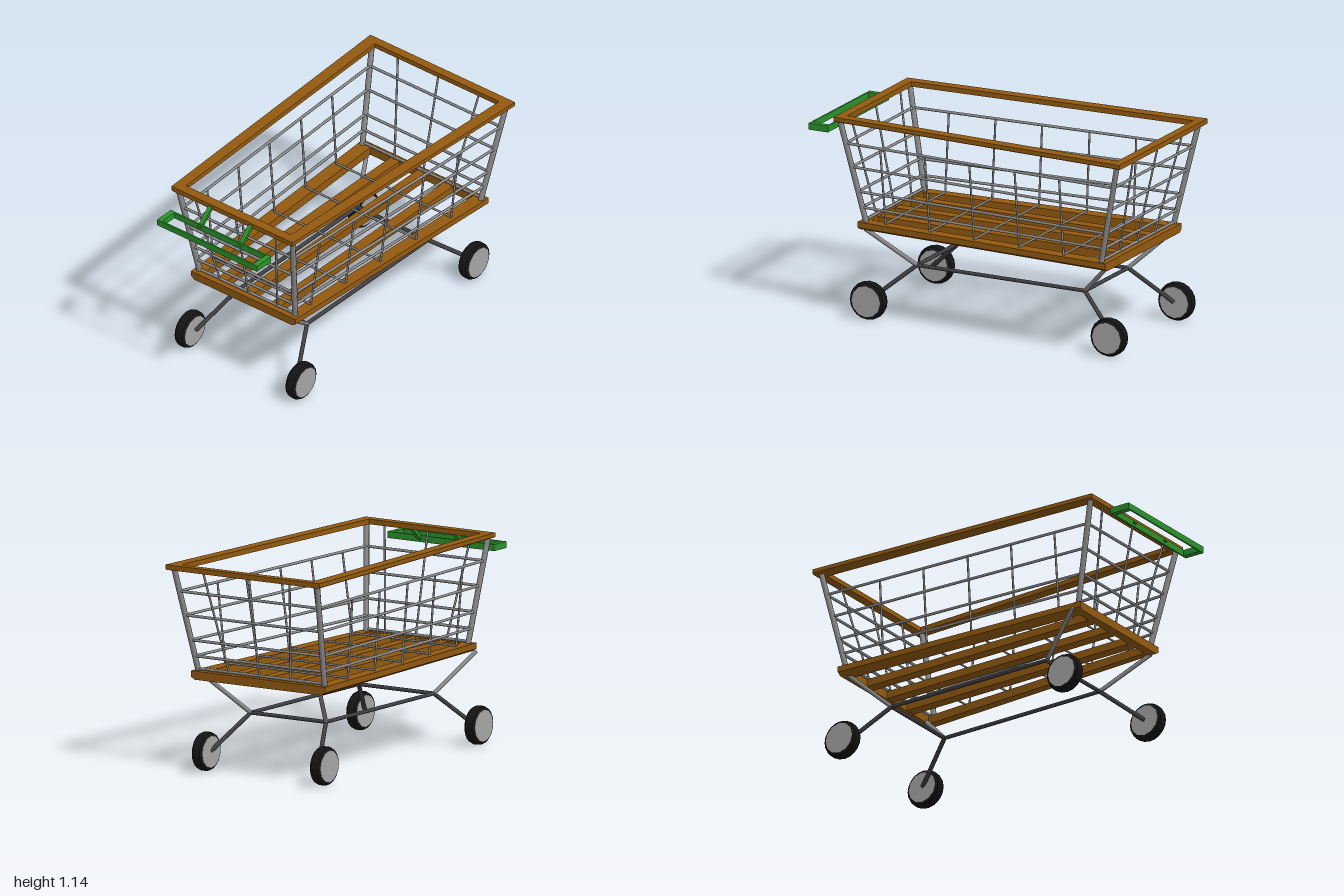
import * as THREE from 'three';
import { ConvexGeometry } from 'three/addons/geometries/ConvexGeometry.js';

const V = (x, y, z) => new THREE.Vector3(x, y, z);
const mat = (name, color) => {
  const m = new THREE.MeshStandardMaterial({ color });
  m.name = name;
  return m;
};

export function createModel() {
  const wood = mat('brown trim', 0x935a10);
  const green = mat('green handle', 0x2b922b);
  const wire = mat('grey wire', 0x8c8c8c);
  const dark = mat('dark steel', 0x404044);
  const rubber = mat('black rubber', 0x141414);
  const hubGrey = mat('hub grey', 0xa6a6a6);

  const model = new THREE.Group();
  model.name = 'shoppingCart';
  const group = (name) => {
    const g = new THREE.Group();
    g.name = name;
    model.add(g);
    return g;
  };
  const add = (parent, name, geo, material) => {
    const m = new THREE.Mesh(geo, material);
    m.name = name;
    parent.add(m);
    return m;
  };
  const box = (parent, name, material, w, h, d, x, y, z) =>
    add(parent, name, new THREE.BoxGeometry(w, h, d), material).position.set(x, y, z);
  const rod = (parent, name, material, a, b, r) => {
    const m = add(parent, name, new THREE.CylinderGeometry(r, r, a.distanceTo(b), 8), material);
    m.position.copy(a).lerp(b, 0.5);
    m.quaternion.setFromUnitVectors(V(0, 1, 0), b.clone().sub(a).normalize());
  };

  // Tapered rectangular frame made of four mitred bars with a chamfered lower edge
  const frame = (name, cx, y0, y1, outer, inner, chamfer) => {
    const g = group(name);
    const corners = ({ front, back, zf, zb }) =>
      [[cx - front, zf], [cx + front, zf], [cx + back, zb], [cx - back, zb]];
    const o = corners(outer), n = corners(inner);
    for (let i = 0; i < 4; i++) {
      const pts = [];
      for (const k of [i, (i + 1) % 4]) {
        const [ox, oz] = o[k], [ix, iz] = n[k];
        const shift = Math.sign(ox - cx) * chamfer;
        pts.push(V(ox, y1, oz), V(ox, y0 + chamfer * 0.6, oz), V(ox - shift, y0, oz),
          V(ix, y1, iz), V(ix, y0, iz));
      }
      add(g, name + 'Bar', new ConvexGeometry(pts), wood);
    }
    return g;
  };
  frame('topRim', -0.002, 1.112, 1.14,
    { front: 0.425, back: 0.507, zf: 0.8, zb: -1 },
    { front: 0.367, back: 0.435, zf: 0.745, zb: -0.95 }, 0.008);
  const tray = frame('tray', -0.014, 0.497, 0.545,
    { front: 0.365, back: 0.44, zf: 0.69, zb: -0.87 },
    { front: 0.3, back: 0.36, zf: 0.64, zb: -0.835 }, 0.025);

  // Floor slats
  for (const x of [-0.2, -0.012, 0.175])
    box(tray, 'floorSlat', wood, 0.062, 0.044, 1.5, x, 0.522, -0.098);

  // Basket corners flare outward with height
  const lerp = THREE.MathUtils.lerp;
  const corner = (sx, sz, y) => {
    const t = (y - 0.545) / 0.575;
    const cx = -0.014 * (1 - t);
    return sz > 0
      ? V(cx + sx * lerp(0.335, 0.4, t), y, lerp(0.655, 0.772, t))
      : V(cx + sx * lerp(0.415, 0.47, t), y, lerp(-0.835, -0.967, t));
  };
  const sidePoint = (sx, y, z) => {
    const a = corner(sx, 1, y), b = corner(sx, -1, y);
    return a.lerp(b, (a.z - z) / (a.z - b.z));
  };

  const basket = group('wireBasket');
  for (const sx of [-1, 1])
    for (const sz of [-1, 1])
      rod(basket, 'cornerPost', wire, corner(sx, sz, 0.54), corner(sx, sz, 1.12), 0.016);

  // Horizontal wire rings
  for (const y of [0.555, 0.625, 0.715, 0.855, 0.99]) {
    for (const s of [-1, 1]) {
      rod(basket, 'endWire', wire, corner(-1, s, y), corner(1, s, y), 0.008);
      if (y > 0.6) rod(basket, 'sideWire', wire, corner(s, 1, y), corner(s, -1, y), 0.008);
    }
  }

  // Upright wires on both ends
  for (const sz of [-1, 1])
    for (const s of [-1, 0, 1])
      rod(basket, 'endUpright', wire,
        V(s * 0.2 - 0.004, 0.54, corner(1, sz, 0.54).z),
        V(s * 0.285 - 0.004, 1.12, corner(1, sz, 1.12).z), 0.006);

  // U-shaped wires: both sides and across the floor
  for (const z of [0.53, 0.25, -0.03, -0.315, -0.595]) {
    for (const s of [-1, 1])
      rod(basket, 'sideUpright', wire, sidePoint(s, 0.55, z), sidePoint(s, 0.99, z), 0.006);
    rod(basket, 'floorWire', wire, sidePoint(-1, 0.55, z), sidePoint(1, 0.55, z), 0.006);
  }

  // Handle loop and its two brackets
  const handle = group('handle');
  for (const z of [0.885, 0.995])
    box(handle, 'handleRail', green, 0.702, 0.036, 0.01, -0.014, 1.037, z);
  for (const s of [-1, 1])
    box(handle, 'handleEnd', green, 0.032, 0.036, 0.12, -0.014 + s * 0.335, 1.037, 0.94);
  for (const x of [-0.155, 0.127]) {
    const bracket = new THREE.BoxGeometry(0.025, 0.018, 0.14);
    const m = add(handle, 'handleBracket', bracket, green);
    m.position.set(x, 1.081, 0.838);
    m.rotation.x = Math.atan2(0.09, 0.1);
  }

  // Undercarriage: rectangle with splayed legs up to the tray and down to the wheels
  const chassis = group('undercarriage');
  const joint = (sx, sz) => V(-0.047 + sx * 0.247, 0.3, sz > 0 ? 0.406 : -0.626);
  for (const s of [-1, 1]) {
    rod(chassis, 'crossBar', dark, joint(-1, s), joint(1, s), 0.011);
    rod(chassis, 'longBar', dark, joint(s, -1), joint(s, 1), 0.011);
  }

  // Wheels: rounded tyre with a flat hub disc on each face
  const tyreProfile = [[0, -0.033], [0.09, -0.033], [0.102, -0.025], [0.107, -0.012],
    [0.107, 0.012], [0.102, 0.025], [0.09, 0.033], [0, 0.033]]
    .map(([r, h]) => new THREE.Vector2(r, h));
  const tyre = new THREE.LatheGeometry(tyreProfile, 20).toNonIndexed();
  tyre.computeVertexNormals();
  const hub = new THREE.CylinderGeometry(0.088, 0.088, 0.069, 12);
  for (const sx of [-1, 1]) {
    for (const sz of [-1, 1]) {
      const j = joint(sx, sz);
      const z = sz > 0 ? 0.628 : -0.85;
      rod(chassis, 'upperLeg', wire, j, V(-0.035 + sx * 0.365, 0.505, sz > 0 ? 0.655 : -0.84), 0.012);
      rod(chassis, 'lowerLeg', dark, j, V(-0.045 + sx * 0.355, 0.11, z), 0.012);
      const wheel = group('wheel');
      add(wheel, 'tyre', tyre, rubber);
      add(wheel, 'hub', hub, hubGrey);
      wheel.rotation.z = Math.PI / 2;
      wheel.position.set(-0.049 + sx * 0.388, 0.107, z);
    }
  }
  return model;
}
